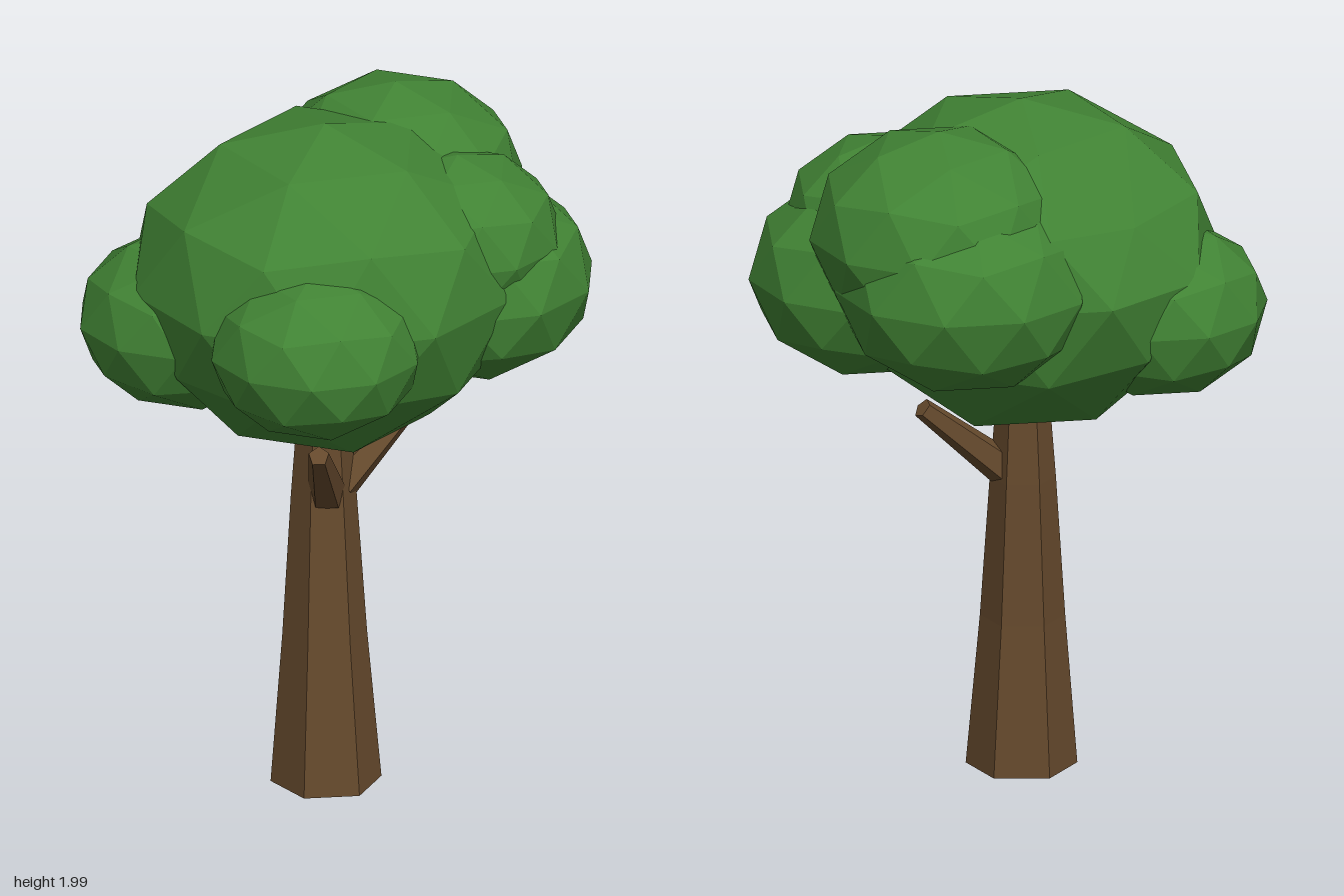
import * as THREE from 'three';

export function createModel() {
  const tree = new THREE.Group();
  tree.name = 'tree';

  const leafGreen = new THREE.MeshStandardMaterial({ color: 0x418334, flatShading: true });
  leafGreen.name = 'leafGreen';
  const barkBrown = new THREE.MeshStandardMaterial({ color: 0x664a2d, flatShading: true });
  barkBrown.name = 'barkBrown';

  const add = (name, geometry, material) => {
    const mesh = new THREE.Mesh(geometry, material);
    mesh.name = name;
    tree.add(mesh);
    return mesh;
  };

  // Trunk: six-sided, tapering and leaning slightly. Levels are [y, x, z, radius].
  const levels = [
    [0.005, 0.02, 0.06, 0.157],
    [0.45, 0.012, 0.056, 0.12],
    [0.87, 0, 0.045, 0.093],
    [1.2, -0.005, 0.04, 0.068],
  ];
  const sides = 6;
  const positions = [];
  const index = [];
  for (const [y, x, z, r] of levels) {
    for (let i = 0; i < sides; i++) {
      const a = Math.PI / 12 + (i / sides) * Math.PI * 2;
      positions.push(x + r * Math.cos(a), y, z + r * Math.sin(a));
    }
  }
  for (let k = 0; k < levels.length - 1; k++) {
    for (let i = 0; i < sides; i++) {
      const a = k * sides + i;
      const b = k * sides + ((i + 1) % sides);
      index.push(a, a + sides, b, b, a + sides, b + sides);
    }
  }
  const last = (levels.length - 1) * sides;
  for (let i = 1; i < sides - 1; i++) {
    index.push(0, i, i + 1); // underside
    index.push(last, last + i + 1, last + i); // top
  }
  const trunk = new THREE.BufferGeometry();
  trunk.setAttribute('position', new THREE.Float32BufferAttribute(positions, 3));
  trunk.setIndex(index);
  const trunkFaces = trunk.toNonIndexed();
  trunkFaces.computeVertexNormals();
  add('trunk', trunkFaces, barkBrown);

  // Branches: short tapered stubs
  const branch = (name, from, to) => {
    const a = new THREE.Vector3(...from);
    const b = new THREE.Vector3(...to);
    const dir = b.clone().sub(a);
    const mesh = add(name, new THREE.CylinderGeometry(0.03, 0.055, dir.length(), 5), barkBrown);
    mesh.position.copy(a).add(b).multiplyScalar(0.5);
    mesh.quaternion.setFromUnitVectors(new THREE.Vector3(0, 1, 0), dir.normalize());
  };
  branch('frontBranch', [0.04, 0.89, 0.08], [0.175, 1.11, 0.29]);
  branch('backBranch', [0.03, 0.89, 0.01], [0.125, 1.11, -0.23]);

  // Crown: squashed faceted balls with a corner pointing straight up
  const ball = new THREE.IcosahedronGeometry(1, 1);
  ball.rotateZ(Math.atan(2 / (1 + Math.sqrt(5))));
  ball.rotateY(Math.PI);

  // The main ball has a flatter underside and one corner pressed in at the upper right
  const mainBall = ball.clone();
  const p = mainBall.attributes.position;
  for (let i = 0; i < p.count; i++) {
    const x = p.getX(i);
    const y = p.getY(i);
    if (y < -0.7 && y > -0.95) p.setY(i, -0.93);
    if (x < -0.8 && y > 0.5) p.setXYZ(i, x * 0.94, y * 0.76, p.getZ(i));
  }
  mainBall.computeVertexNormals();

  const clumps = [
    ['crownMain', mainBall, 0, 1.54, 0.04, 0.56],
    ['crownFrontLeft', ball, 0.235, 1.485, 0.38, 0.305],
    ['crownFrontRight', ball, -0.315, 1.4, 0.27, 0.31],
    ['crownBackTop', ball, -0.03, 1.695, -0.32, 0.37],
    ['crownBackRight', ball, -0.135, 1.57, -0.325, 0.37],
    ['crownBackLeftTop', ball, 0.27, 1.64, -0.22, 0.3],
    ['crownBackLeftLow', ball, 0.265, 1.495, -0.29, 0.352],
  ];
  for (const [name, geometry, x, y, z, r] of clumps) {
    const mesh = add(name, geometry, leafGreen);
    mesh.position.set(x, y, z);
    mesh.scale.set(r, r * 0.82, r);
  }

  return tree;
}
